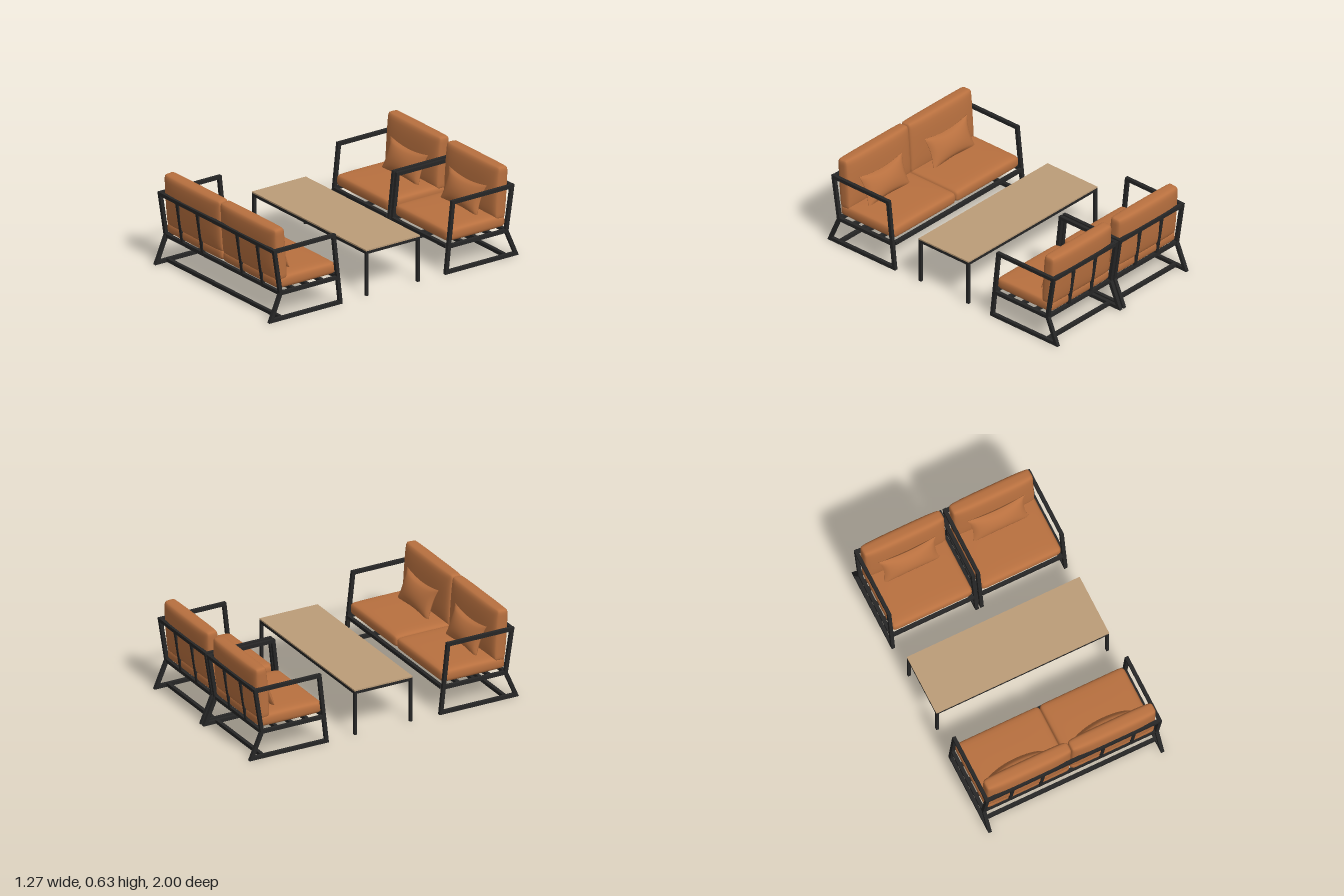
import * as THREE from 'three';
import { mergeVertices } from 'three/addons/utils/BufferGeometryUtils.js';

const mat = (name, color) => Object.assign(new THREE.MeshStandardMaterial({ color }), { name });

const T = 0.024; // thickness of the metal bars

function add(group, name, geometry, material, x = 0, y = 0, z = 0) {
  const mesh = new THREE.Mesh(geometry, material);
  mesh.name = name;
  mesh.position.set(x, y, z);
  group.add(mesh);
  return mesh;
}

// Box whose vertices are moved by a rule, welded so it shades smoothly
function shapedBox(w, h, d, seg, rule) {
  let g = new THREE.BoxGeometry(w, h, d, ...seg);
  const p = g.attributes.position;
  const v = new THREE.Vector3();
  for (let i = 0; i < p.count; i++) {
    v.fromBufferAttribute(p, i);
    rule(v);
    p.setXYZ(i, v.x, v.y, v.z);
  }
  g.deleteAttribute('uv');
  g.deleteAttribute('normal');
  g = mergeVertices(g, 1e-5);
  g.computeVertexNormals();
  return g;
}

// Upholstered slab lying in the xy plane: rounded edges and a crown along z
function cushionGeometry(w, h, d, r, edge) {
  const half = new THREE.Vector3(w / 2, h / 2, d / 2);
  const inner = half.clone().subScalar(r);
  const low = inner.clone().negate();
  const core = new THREE.Vector3();
  return shapedBox(w, h, d, [18, 18, 8], (v) => {
    // crowd the vertices towards the edges
    for (const k of ['x', 'y', 'z']) v[k] = half[k] * Math.sin((v[k] / half[k]) * Math.PI / 2);
    core.copy(v).clamp(low, inner);
    v.sub(core).setLength(r).add(core);
    const a = 1 - Math.abs(v.x / half.x) ** 4;
    const b = 1 - Math.abs(v.y / half.y) ** 3;
    v.z *= edge + (1 - edge) * Math.sqrt(Math.max(0, a * b));
  });
}

// Throw pillow with pinched sides and pointed corners
function pillowGeometry(w, h, d) {
  return shapedBox(w, h, d, [20, 14, 1], (v) => {
    const a = v.x / (w / 2), b = v.y / (h / 2), side = Math.sign(v.z);
    v.x *= 1 - 0.1 * (1 - b * b);
    v.y *= 1 - 0.2 * (1 - a * a);
    const swell = Math.pow(Math.max(0, (1 - a * a) * (1 - b * b)), 0.55);
    v.z = side * (0.002 + (d / 2) * swell);
  });
}

// Closed side loop of leg, back post, arm and floor runner, in (z, y)
function sideFrameGeometry() {
  const pts = (list) => list.map(([z, y]) => new THREE.Vector2(z, y));
  const shape = new THREE.Shape(pts([[-1, 0], [-0.412, 0], [-0.468, 0.5], [-0.967, 0.5], [-0.918, 0.19]]));
  shape.holes.push(new THREE.Path(pts(
    [[-0.9635, 0.024], [-0.893, 0.187], [-0.939, 0.476], [-0.4895, 0.476], [-0.4389, 0.024]])));
  const g = new THREE.ExtrudeGeometry(shape, { depth: T, bevelEnabled: false });
  g.translate(0, 0, -T / 2);
  g.rotateY(-Math.PI / 2);
  return g;
}

// Seat of any width facing +z; cushions and slats are spread evenly
function seating(name, width, count, slats, m) {
  const g = new THREE.Group();
  g.name = name;
  const frame = sideFrameGeometry();
  const span = width - 2 * T;
  for (const s of [-1, 1]) {
    const x = s * (width - T) / 2;
    add(g, 'sideFrame', frame, m.metal, x);
    add(g, 'sideSeatRail', new THREE.BoxGeometry(T, T, 0.46), m.metal, x, 0.188, -0.674);
  }
  const rail = new THREE.BoxGeometry(span, T, T);
  for (const z of [-0.905, -0.79, -0.675, -0.56, -0.437]) add(g, 'seatRail', rail, m.metal, 0, 0.188, z);
  add(g, 'topBackRail', rail, m.metal, 0, 0.487, -0.953);
  add(g, 'floorRail', rail, m.metal, 0, 0.016, -0.9);

  // upright slats follow the lean of the back
  const slat = new THREE.BoxGeometry(T, 0.295, T * 0.8);
  for (const x of slats) add(g, 'backSlat', slat, m.metal, x, 0.338, -0.929).rotation.x = -0.157;

  const w = span / count;
  const seatGeo = cushionGeometry(w, 0.475, 0.1, 0.032, 0.76);
  const backGeo = cushionGeometry(w, 0.365, 0.118, 0.027, 0.6);
  const pillowGeo = pillowGeometry(0.41, 0.225, 0.085);
  for (let i = 0; i < count; i++) {
    const x = (i - (count - 1) / 2) * w;
    add(g, 'seatCushion', seatGeo, m.leather, x, 0.249, -0.68).rotation.x = -Math.PI / 2;
    add(g, 'backCushion', backGeo, m.leather, x, 0.447, -0.886).rotation.x = -0.07;
    add(g, 'throwPillow', pillowGeo, m.leather, x * 1.03, 0.384, -0.785).rotation.x = -0.36;
  }
  return g;
}

function coffeeTable(m) {
  const g = new THREE.Group();
  g.name = 'coffeeTable';
  const W = 1.246, D = 0.432, t = 0.02;
  add(g, 'tableTop', new THREE.BoxGeometry(W, 0.01, D), m.wood, 0, 0.317, 0);
  const leg = new THREE.BoxGeometry(t, 0.312, t);
  for (const sx of [-1, 1]) {
    for (const sz of [-1, 1]) add(g, 'tableLeg', leg, m.metal, sx * (W - t) / 2, 0.156, sz * (D - t) / 2);
  }
  const long = new THREE.BoxGeometry(W - 2 * t, t, t);
  for (const s of [-1, 1]) add(g, 'longApron', long, m.metal, 0, 0.302, s * (D - t) / 2);
  const short = new THREE.BoxGeometry(t, t, D - 2 * t);
  for (const x of [-(W - t) / 2, -0.2, 0.2, (W - t) / 2]) add(g, 'crossApron', short, m.metal, x, 0.302, 0);
  return g;
}

export function createModel() {
  const m = {
    leather: mat('tan leather', 0xb8703f),
    metal: mat('black metal', 0x262626),
    wood: mat('pale wood', 0xbb9c78),
  };
  const model = new THREE.Group();
  model.name = 'loungeSet';

  const sofa = seating('sofa', 1.268, 2, [-0.437, -0.217, 0.217, 0.437], m);
  sofa.rotation.y = Math.PI;
  model.add(sofa);

  for (const s of [-1, 1]) {
    const chair = seating('armchair', 0.628, 1, [-0.105, 0.105], m);
    chair.position.x = s * 0.32;
    model.add(chair);
  }
  model.add(coffeeTable(m));
  return model;
}
